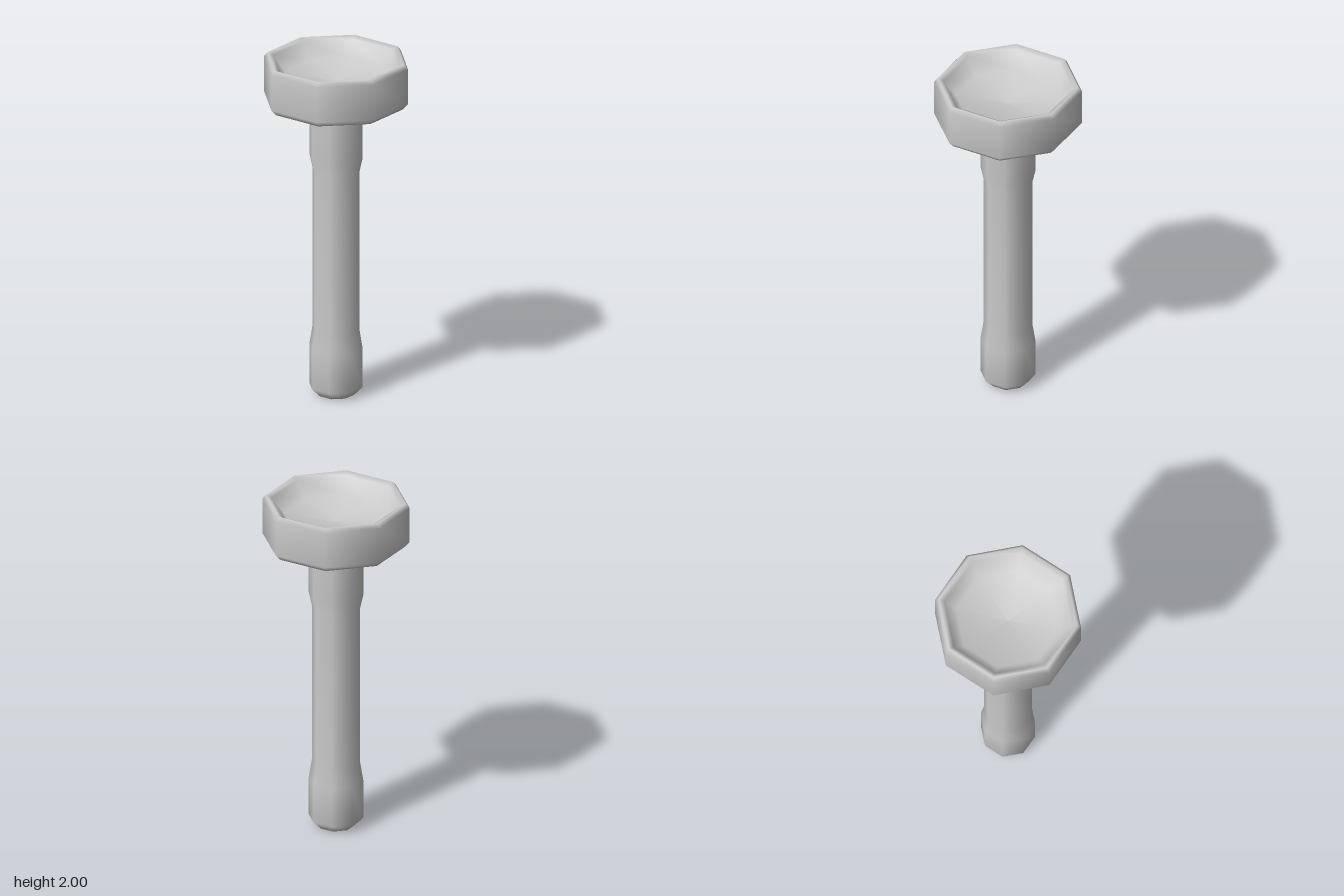
import * as THREE from 'three';

const SIDES = 8;

export function createModel() {
  const group = new THREE.Group();
  const material = new THREE.MeshStandardMaterial({ color: 0xcccccc });

  // Turns a [radius, height] profile into an eight-sided, smooth-shaded part
  function turned(name, profile) {
    const points = profile.map(([r, y]) => new THREE.Vector2(r, y));
    const mesh = new THREE.Mesh(new THREE.LatheGeometry(points, SIDES), material);
    mesh.name = name;
    group.add(mesh);
  }

  // Shaft with a thicker grip at the bottom and a collar at the top
  turned('handle', [
    [0, 0], [0.105, 0], [0.155, 0.05], [0.155, 0.28], [0.137, 0.39],
    [0.137, 1.34], [0.155, 1.42], [0.155, 1.665],
  ]);

  // Bowl: flared neck, sloping underside, upright wall, bevelled rim, shallow hollow
  turned('bowl', [
    [0.155, 1.665], [0.172, 1.683], [0.387, 1.732], [0.418, 1.765],
    [0.418, 1.975], [0.397, 2], [0.365, 1.985],
    [0.295, 1.895], [0, 1.86],
  ]);

  return group;
}
